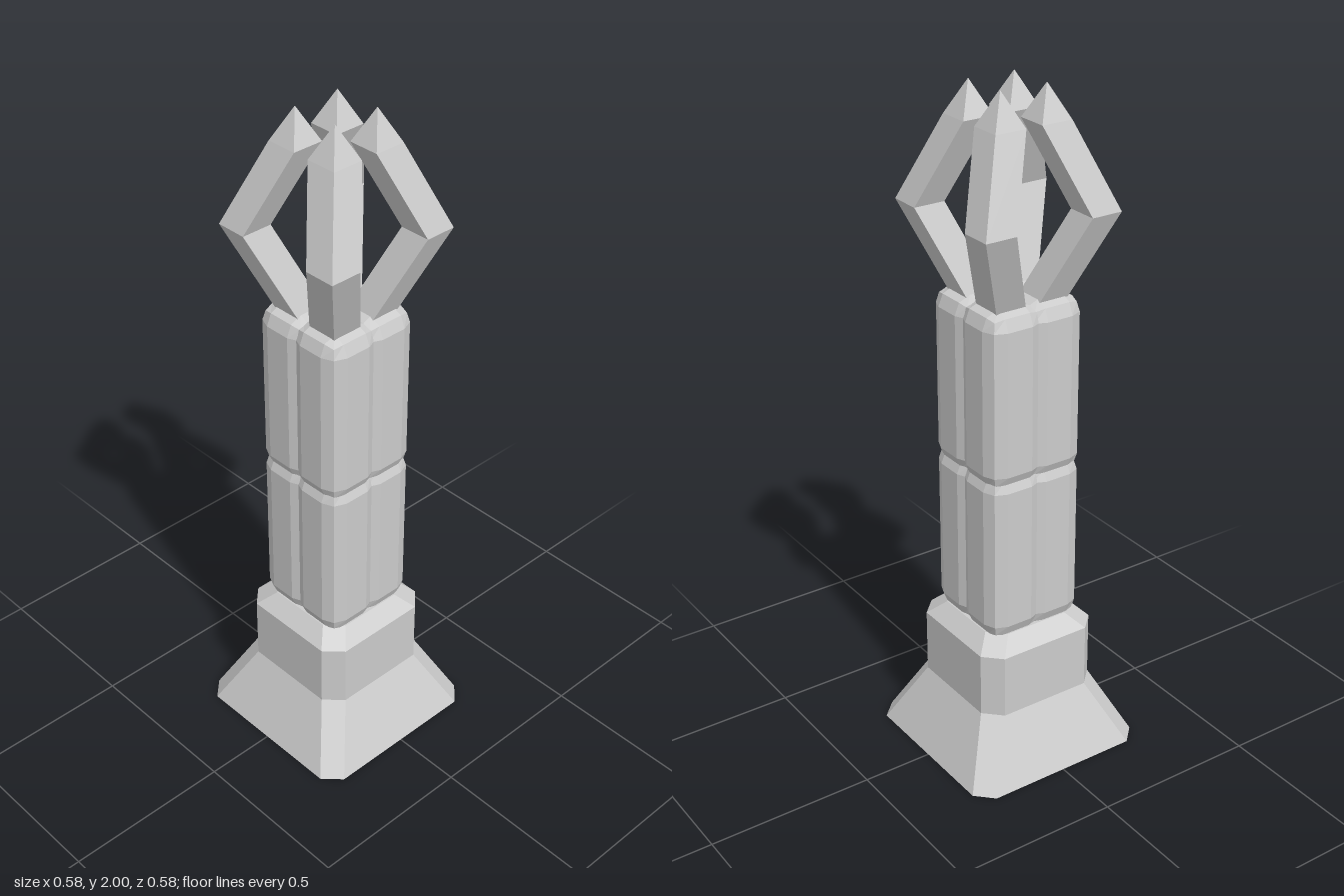
import * as THREE from 'three';
import { RoundedBoxGeometry } from 'three/addons/geometries/RoundedBoxGeometry.js';

const material = new THREE.MeshStandardMaterial({ color: 0xcccccc, flatShading: true });

function part(name, geometry) {
  const mesh = new THREE.Mesh(geometry, material);
  mesh.name = name;
  return mesh;
}

// Skin stacked rings (bottom to top, counter-clockwise seen from above) and cap both ends
function loft(rings) {
  const n = rings[0].length;
  const index = [];
  for (let r = 0; r < rings.length - 1; r++) {
    for (let i = 0; i < n; i++) {
      const a = r * n + i, b = r * n + (i + 1) % n;
      index.push(a, b, b + n, a, b + n, a + n);
    }
  }
  const top = (rings.length - 1) * n;
  for (let i = 1; i < n - 1; i++) {
    index.push(0, i + 1, i, top, top + i, top + i + 1);
  }
  const geometry = new THREE.BufferGeometry();
  geometry.setAttribute('position', new THREE.Float32BufferAttribute(rings.flat(2), 3));
  geometry.setIndex(index);
  const flat = geometry.toNonIndexed();
  flat.computeVertexNormals();
  return flat;
}

// Square with cut corners: h = half width, c = half length of the straight side
const octagon = (y, h, c) => [
  [h, y, c], [h, y, -c], [c, y, -h], [-c, y, -h],
  [-h, y, -c], [-h, y, c], [-c, y, h], [c, y, h],
];

// Square from a to b on both x and z
const square = (y, a, b) => [[a, y, b], [b, y, b], [b, y, a], [a, y, a]];

export function createModel() {
  const model = new THREE.Group();
  model.name = 'clawTower';

  // Flared plinth with cut corners
  model.add(part('base', loft([
    octagon(0, 0.288, 0.238),
    octagon(0.195, 0.193, 0.143),
    octagon(0.39, 0.193, 0.143),
    octagon(0.435, 0.147, 0.1),
  ])));

  // Two tiers of four overlapping bevelled blocks
  const block = new RoundedBoxGeometry(0.18, 0.53, 0.18, 1, 0.05);
  const shaft = new THREE.Group();
  shaft.name = 'shaft';
  for (const y of [0.68, 1.16]) {
    for (const x of [-0.065, 0.065]) {
      for (const z of [-0.065, 0.065]) {
        const mesh = part('shaftBlock', block);
        mesh.position.set(x, y, z);
        shaft.add(mesh);
      }
    }
  }
  model.add(shaft);

  // Four bent prongs, each ending in a pyramid tip
  const prong = loft([
    square(1.415, 0.021, 0.116),
    square(1.665, 0.12, 0.215),
    square(1.905, 0.025, 0.12),
    square(2, 0.072, 0.073),
  ]);
  for (let i = 0; i < 4; i++) {
    const mesh = part('prong', prong);
    mesh.rotation.y = i * Math.PI / 2;
    model.add(mesh);
  }
  return model;
}
